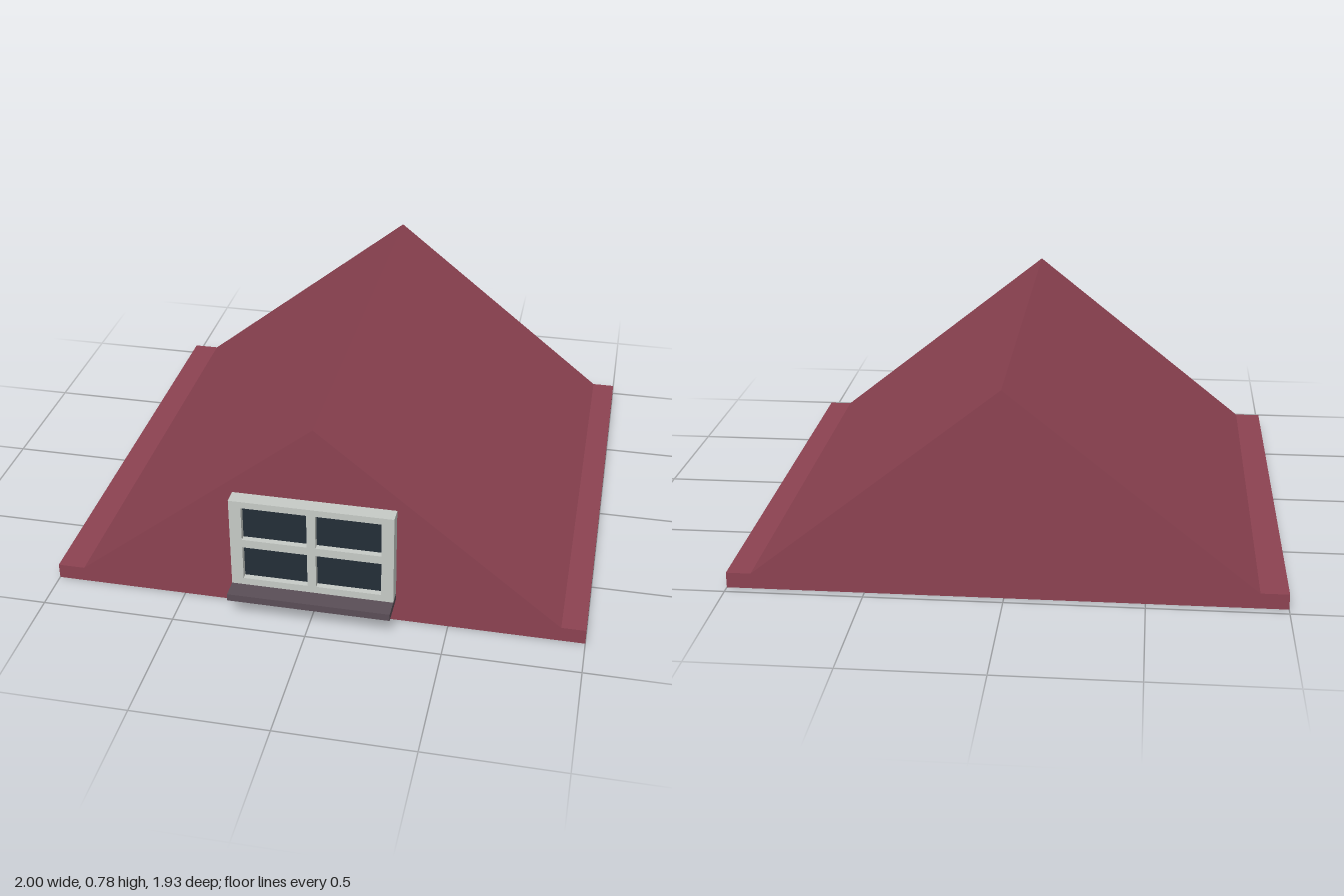
import * as THREE from 'three';

const flat = (name, color) => {
  const m = new THREE.MeshStandardMaterial({ color });
  m.name = name;
  return m;
};

const rect = (Type, x0, y0, x1, y1) => {
  const s = new Type();
  s.moveTo(x0, y0);
  s.lineTo(x1, y0);
  s.lineTo(x1, y1);
  s.lineTo(x0, y1);
  s.closePath();
  return s;
};

export function createModel() {
  const roofRed = flat('roof red', 0x8c4251);
  const frameGrey = flat('frame pale grey', 0xc6cac6);
  const glassDark = flat('glass dark blue', 0x232e37);
  const sillGrey = flat('sill dark grey', 0x5a4e57);

  const model = new THREE.Group();
  model.name = 'gableRoof';
  const add = (parent, name, geometry, material, x = 0, y = 0, z = 0) => {
    const mesh = new THREE.Mesh(geometry, material);
    mesh.name = name;
    mesh.position.set(x, y, z);
    parent.add(mesh);
  };
  const extrude = (shape, depth) =>
    new THREE.ExtrudeGeometry(shape, { depth, bevelEnabled: false });

  // Solid gable with a low eave along each side
  const back = -0.967, front = 0.839;
  const profile = new THREE.Shape([
    [-1, 0], [1, 0], [1, 0.058], [0.91, 0.058],
    [0.005, 0.78], [-0.898, 0.058], [-1, 0.058],
  ].map(([x, y]) => new THREE.Vector2(x, y)));
  add(model, 'roof', extrude(profile, front - back), roofRed, 0, 0, back);

  // Window on the front gable, centred under the ridge
  const windowGroup = new THREE.Group();
  windowGroup.name = 'window';
  windowGroup.position.set(0.005, 0, front);
  model.add(windowGroup);

  // Frame with four openings, and a recessed pane in each
  const frame = rect(THREE.Shape, -0.301, 0.122, 0.301, 0.485);
  for (const [x0, x1] of [[-0.256, -0.016], [0.016, 0.256]]) {
    for (const [y0, y1] of [[0.15, 0.288], [0.321, 0.459]]) {
      frame.holes.push(rect(THREE.Path, x0, y0, x1, y1));
      add(windowGroup, 'pane', new THREE.BoxGeometry(x1 - x0, y1 - y0, 0.008),
        glassDark, (x0 + x1) / 2, (y0 + y1) / 2, 0.03);
    }
  }
  add(windowGroup, 'frame', extrude(frame, 0.057), frameGrey);

  // Projecting sill
  add(windowGroup, 'sill', new THREE.BoxGeometry(0.602, 0.028, 0.128),
    sillGrey, 0, 0.108, 0.064);

  return model;
}
